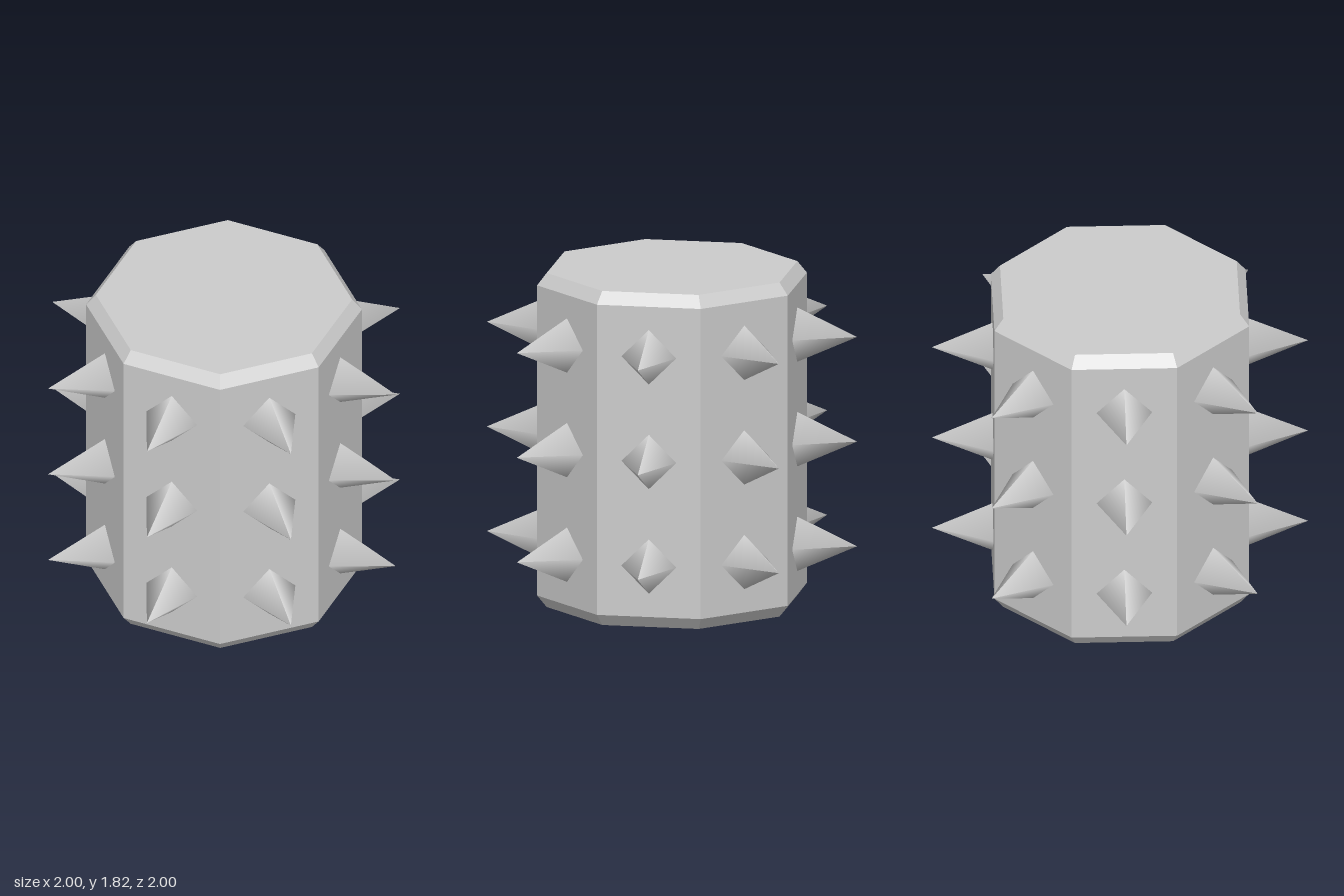
import * as THREE from 'three';

export function createModel() {
  const model = new THREE.Group();
  const flat = new THREE.MeshStandardMaterial({ color: 0xcccccc, flatShading: true });
  const smooth = new THREE.MeshStandardMaterial({ color: 0xcccccc });

  // Octagonal drum with chamfered rims; sizes are measured to the flats
  const apothem = 0.677, height = 1.82, chamfer = 0.048, rim = 0.065;
  const toCorner = 1 / Math.cos(Math.PI / 8);
  const profile = [
    [0, 0], [apothem - chamfer, 0], [apothem, rim],
    [apothem, height - rim], [apothem - chamfer, height], [0, height],
  ].map(([r, y]) => new THREE.Vector2(r * toCorner, y));
  const body = new THREE.Mesh(new THREE.LatheGeometry(profile, 8, Math.PI / 8), flat);
  body.name = 'body';
  model.add(body);

  // Four-sided spikes, one per flat in three rings, points at radius 1
  const base = apothem - 0.002, length = 1 - base;
  const spikeGeometry = new THREE.ConeGeometry(0.149, length, 4)
    .rotateX(Math.PI / 2)
    .translate(0, 0, base + length / 2);
  [0.34, 0.91, 1.48].forEach((y, row) => {
    const ring = new THREE.Group();
    ring.name = `spikeRing${row + 1}`;
    ring.position.y = y;
    for (let i = 0; i < 8; i++) {
      const spike = new THREE.Mesh(spikeGeometry, smooth);
      spike.name = 'spike';
      spike.rotation.y = (i * Math.PI) / 4;
      ring.add(spike);
    }
    model.add(ring);
  });

  return model;
}
